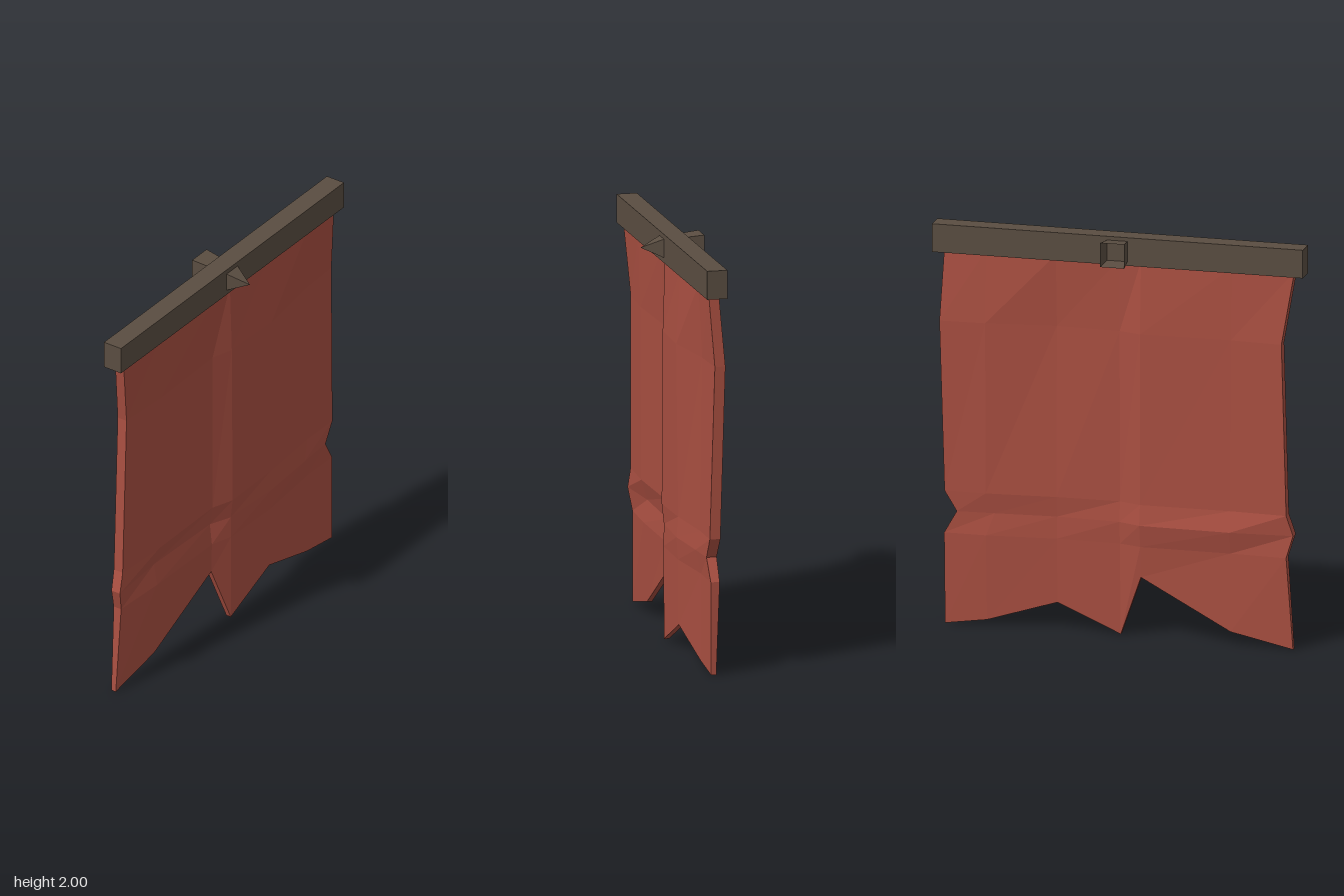
import * as THREE from 'three';

const cloth = new THREE.MeshStandardMaterial({ name: 'red cloth', color: 0xa94f41, flatShading: true });
const wood = new THREE.MeshStandardMaterial({ name: 'dark wood', color: 0x5a4d41, flatShading: true });
const woodOpen = wood.clone();
woodOpen.side = THREE.DoubleSide;

// Cloth folds: one row per crease, with x, y and depth for every column
const columns = [-0.87, -0.56, -0.11, 0.0, 0.315, 0.66, 0.87];
const hem = [0.005, 0.07, 0.305, 0.005, 0.14, 0.035, 0.005];
const rows = [
  { y: 1.88, left: -0.873, right: 0.868, half: 0.025, z: [0, 0, 0, 0.005, 0.005, 0, 0] },
  { y: 1.52, left: -0.815, right: 0.885, half: 0.026, z: [-0.025, -0.01, -0.02, 0.015, 0.025, -0.02, -0.028] },
  { y: 0.67, left: -0.84, right: 0.865, half: 0.026, z: [-0.03, -0.015, -0.02, 0.02, 0.015, -0.01, -0.008] },
  { y: 0.57, left: -0.872, right: 0.805, half: 0.025, z: [-0.022, -0.044, -0.035, 0.01, 0.025, 0.005, -0.005], fold: 0.62 },
  { y: 0.46, left: -0.84, right: 0.868, half: 0.022, z: [-0.035, -0.022, -0.02, 0.015, 0.02, -0.01, -0.008] },
  { y: null, left: -0.872, right: 0.868, half: 0.013, z: [-0.035, -0.03, -0.015, 0.022, 0.025, 0.002, 0] },
];

function clothPoint(r, c, side) {
  const row = rows[r];
  const last = columns.length - 1;
  let x = columns[c];
  if (c === 0) x = row.left;
  if (c === last) x = row.right;
  if (c === last - 1 && row.fold) x = row.fold;
  return [x, row.y ?? hem[c], row.z[c] + side * row.half];
}

function createCloth() {
  const pos = [];
  const quad = (a, b, c, d) => pos.push(...a, ...b, ...c, ...a, ...c, ...d);
  const R = rows.length - 1, C = columns.length - 1;
  const p = clothPoint;
  for (let r = 0; r < R; r++) {
    for (let c = 0; c < C; c++) {
      quad(p(r + 1, c, 1), p(r + 1, c + 1, 1), p(r, c + 1, 1), p(r, c, 1)); // front
      quad(p(r + 1, c + 1, -1), p(r + 1, c, -1), p(r, c, -1), p(r, c + 1, -1)); // back
    }
    // side edges
    quad(p(r + 1, 0, -1), p(r + 1, 0, 1), p(r, 0, 1), p(r, 0, -1));
    quad(p(r + 1, C, 1), p(r + 1, C, -1), p(r, C, -1), p(r, C, 1));
  }
  for (let c = 0; c < C; c++) { // top and torn hem
    quad(p(0, c, 1), p(0, c + 1, 1), p(0, c + 1, -1), p(0, c, -1));
    quad(p(R, c, -1), p(R, c + 1, -1), p(R, c + 1, 1), p(R, c, 1));
  }
  const geo = new THREE.BufferGeometry();
  geo.setAttribute('position', new THREE.Float32BufferAttribute(pos, 3));
  geo.computeVertexNormals();
  return geo;
}

// Square-section taper along z, half widths given at its front and back ends
function taper(front, back, zFront, zBack, open) {
  const k = Math.SQRT2;
  const geo = new THREE.CylinderGeometry(front * k, back * k, zFront - zBack, 4, 1, open);
  geo.rotateY(Math.PI / 4).rotateX(Math.PI / 2).translate(0, 0, (zFront + zBack) / 2);
  return geo;
}

export function createModel() {
  const group = new THREE.Group();
  group.name = 'wallBanner';
  const add = (name, geo, mat, x = 0, y = 0, z = 0) => {
    const mesh = new THREE.Mesh(geo, mat);
    mesh.name = name;
    mesh.position.set(x, y, z);
    group.add(mesh);
  };
  add('tornCloth', createCloth(), cloth);
  add('crossBeam', new THREE.BoxGeometry(1.845, 0.14, 0.1), wood, 0, 1.93, -0.005);
  add('frontSpike', taper(0, 0.047, 0.15, 0.042, false), wood, -0.003, 1.931, 0);
  add('backSocket', taper(0.05, 0.06, -0.05, -0.15, true), woodOpen, 0, 1.931, 0);
  return group;
}
